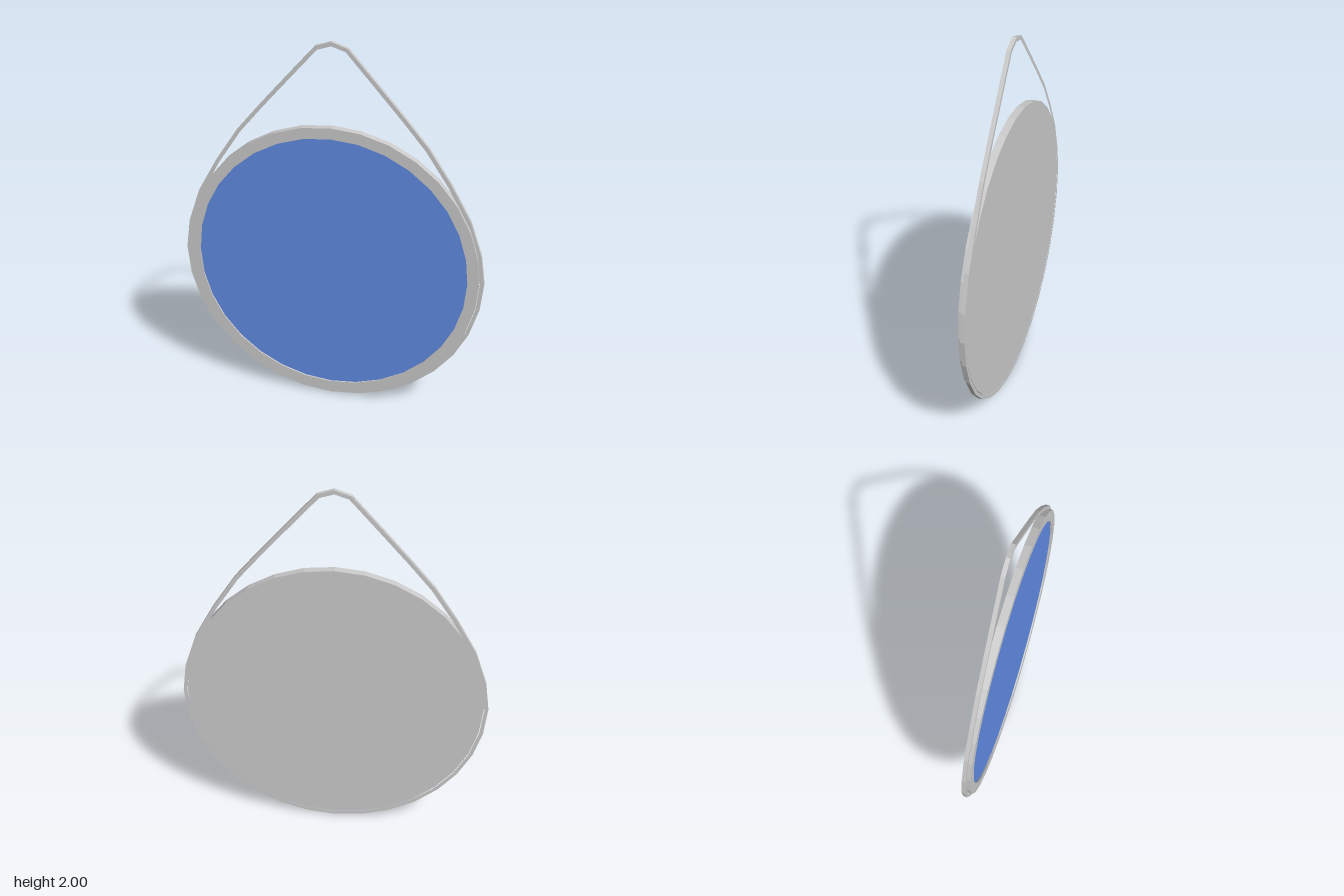
import * as THREE from 'three';

const CENTER_Y = 0.797, SEGMENTS = 32;
const FRAME_R = 0.772, MIRROR_R = 0.714, STRAP_R = 0.795, STRAP_W = 0.02;

// Outer outline of the strap: hanging peak, right side, lower arc, left side
function strapOutline() {
  const side = [[0.082, 1.973], [0.235, 1.8], [0.368, 1.648], [0.488, 1.505],
    [0.605, 1.328], [0.71, 1.14], [0.773, 0.955]];
  for (let i = 0; i < 8; i++) {
    const a = -i * Math.PI * 2 / SEGMENTS;
    side.push([Math.cos(a) * STRAP_R, CENTER_Y + Math.sin(a) * STRAP_R]);
  }
  const right = side.map(([x, y]) => new THREE.Vector2(x, y));
  const left = side.map(([x, y]) => new THREE.Vector2(-x, y)).reverse();
  return [new THREE.Vector2(0, 2), ...right, new THREE.Vector2(0, CENTER_Y - STRAP_R), ...left];
}

// Move every corner of a clockwise outline inwards by d
function inset(points, d) {
  const n = points.length;
  return points.map((p, i) => {
    const a = p.clone().sub(points[(i + n - 1) % n]).normalize();
    const b = points[(i + 1) % n].clone().sub(p).normalize();
    const na = new THREE.Vector2(a.y, -a.x), nb = new THREE.Vector2(b.y, -b.x);
    const m = na.clone().add(nb).normalize();
    return p.clone().addScaledVector(m, d / m.dot(na));
  });
}

export function createModel() {
  const group = new THREE.Group();
  const grey = new THREE.MeshStandardMaterial({ color: 0xcccccc, flatShading: true });
  const blue = new THREE.MeshStandardMaterial({ color: 0x628ce7 });

  // Round frame: closed back, outer wall, front rim and shallow inner lip
  const profile = [[0, -0.0195], [FRAME_R, -0.0195], [FRAME_R, 0.02], [MIRROR_R, 0.02], [MIRROR_R, 0.012]]
    .map(([r, z]) => new THREE.Vector2(r, z));
  const frame = new THREE.Mesh(new THREE.LatheGeometry(profile, SEGMENTS).rotateX(Math.PI / 2), grey);
  frame.name = 'frame';
  frame.position.y = CENTER_Y;

  // Recessed mirror pane
  const mirror = new THREE.Mesh(new THREE.CircleGeometry(MIRROR_R, SEGMENTS), blue);
  mirror.name = 'mirrorPane';
  mirror.position.set(0, CENTER_Y, 0.012);

  // Hanging strap looped round the back half of the frame
  const outline = strapOutline();
  const shape = new THREE.Shape(outline);
  shape.holes.push(new THREE.Path(inset(outline, STRAP_W)));
  const strapGeometry = new THREE.ExtrudeGeometry(shape, { depth: 0.021, bevelEnabled: false });
  const strap = new THREE.Mesh(strapGeometry.translate(0, 0, -0.02), grey);
  strap.name = 'hangingStrap';

  group.add(frame, mirror, strap);
  return group;
}
